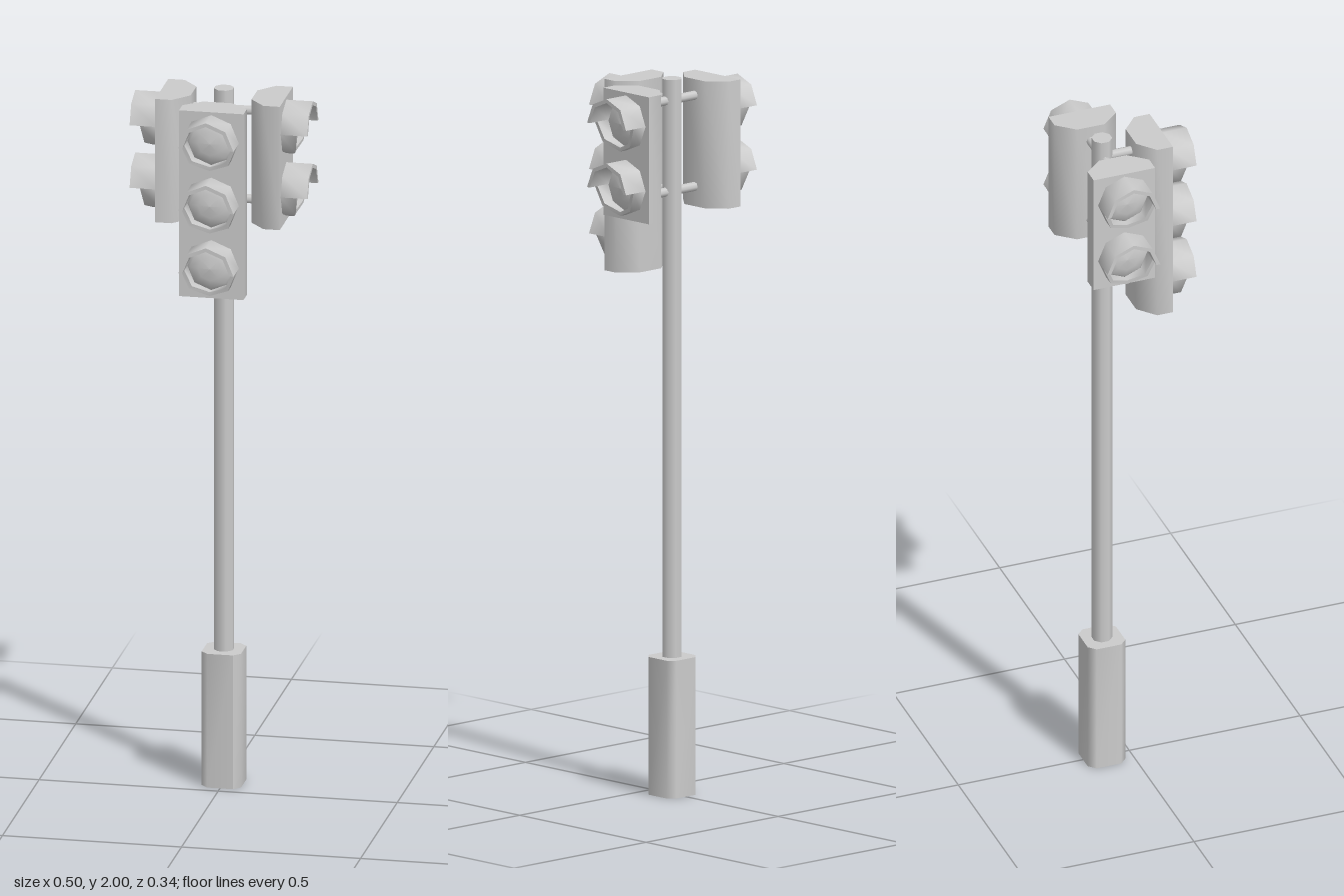
import * as THREE from 'three';
import { toCreasedNormals } from 'three/addons/utils/BufferGeometryUtils.js';

const grey = new THREE.MeshStandardMaterial({ color: 0xcccccc });
const greyDouble = new THREE.MeshStandardMaterial({ color: 0xcccccc, side: THREE.DoubleSide });
const POLE_Z = -0.08;
const FACE = 0.174; // distance from the pole axis to a lamp housing's face

function add(parent, name, geometry, material = grey) {
  const mesh = new THREE.Mesh(geometry, material);
  mesh.name = name;
  parent.add(mesh);
  return mesh;
}

// Turns an octagonal ring into a square with cut corners
function squareOff(geometry, half, cut) {
  const p = geometry.attributes.position;
  for (let i = 0; i < p.count; i++) {
    const x = p.getX(i), z = p.getZ(i);
    if (Math.hypot(x, z) < 1e-4) continue;
    const wide = Math.abs(x) > Math.abs(z);
    p.setX(i, Math.sign(x) * (wide ? half : cut));
    p.setZ(i, Math.sign(z) * (wide ? cut : half));
  }
  geometry.computeVertexNormals();
  return geometry;
}

// Housing: plan outline with slanted back corners, extruded upwards
function housingGeometry(bottom, top) {
  const outline = [[-0.04, 0.085], [0.04, 0.085], [0.09, 0.128], [0.09, FACE], [-0.09, FACE], [-0.09, 0.128]];
  const shape = new THREE.Shape(outline.map(([x, z]) => new THREE.Vector2(x, -z)));
  const g = new THREE.ExtrudeGeometry(shape, { depth: top - bottom, bevelEnabled: false });
  g.rotateX(-Math.PI / 2).translate(0, bottom, 0);
  return toCreasedNormals(g, 0.9);
}

// Visor: octagonal shell, long over the top half and stepped back below
function visorGeometry() {
  const long = 0.074, outer = 0.077, inner = 0.066;
  const sections = [
    [0, long], [45, long], [90, long], [135, long], [180, long],
    [180, 0.045], [225, 0.037], [270, 0.022], [315, 0.037], [360, 0.045], [360, long],
  ];
  const positions = [], index = [];
  sections.forEach(([degrees, length], i) => {
    const a = THREE.MathUtils.degToRad(degrees), c = Math.cos(a), s = Math.sin(a);
    for (const [r, z] of [[outer, 0], [outer, length], [inner, length], [inner, 0]]) positions.push(r * c, r * s, z);
    if (i === 0) return;
    for (let k = 0; k < 3; k++) {
      const a0 = (i - 1) * 4 + k, b0 = i * 4 + k;
      index.push(a0, b0, b0 + 1, a0, b0 + 1, a0 + 1);
    }
  });
  const g = new THREE.BufferGeometry();
  g.setAttribute('position', new THREE.Float32BufferAttribute(positions, 3));
  g.setIndex(index);
  return toCreasedNormals(g, 0.9);
}

// Lens: shallow eight-sided dome facing +z
function lensGeometry() {
  const profile = [[0.067, 0], [0.058, 0.01], [0.034, 0.018], [0, 0.022]].map(([r, h]) => new THREE.Vector2(r, h));
  return new THREE.LatheGeometry(profile, 8).rotateX(Math.PI / 2);
}

// One signal head with its two brackets, facing +z from the pole axis
function signalHead(name, lampHeights, bottom) {
  const head = new THREE.Group();
  head.name = name;
  add(head, 'housing', housingGeometry(bottom, 1.985));
  for (const y of lampHeights) {
    add(head, 'visor', visorGeometry(), greyDouble).position.set(0, y, FACE);
    add(head, 'lens', lensGeometry(), greyDouble).position.set(0, y, FACE + 0.001);
  }
  for (const y of [1.94, 1.685]) {
    const bracket = new THREE.CylinderGeometry(0.013, 0.013, 0.075, 8).rotateX(Math.PI / 2);
    add(head, 'bracket', bracket).position.set(0, y, 0.0575);
  }
  head.position.z = POLE_Z;
  return head;
}

export function createModel() {
  const model = new THREE.Group();
  model.name = 'trafficLight';

  // Base: hollow post with cut corners, closed on top
  const sides = new THREE.CylinderGeometry(0.05, 0.05, 0.385, 8, 1, true).rotateY(Math.PI / 8);
  add(model, 'base', squareOff(sides, 0.055, 0.036), greyDouble).position.set(0, 0.1925, POLE_Z);
  const lid = new THREE.CircleGeometry(0.05, 8).rotateX(-Math.PI / 2).rotateY(Math.PI / 8);
  add(model, 'baseTop', squareOff(lid, 0.055, 0.036)).position.set(0, 0.385, POLE_Z);

  // Pole
  const pole = new THREE.CylinderGeometry(0.0285, 0.0285, 1.62, 8).rotateY(Math.PI / 8);
  add(model, 'pole', pole).position.set(0, 1.19, POLE_Z);

  // Three-lamp head in front, two-lamp heads on both sides
  model.add(signalHead('frontHead', [1.9, 1.72, 1.54], 1.45));
  for (const side of [1, -1]) {
    const head = signalHead(side > 0 ? 'leftHead' : 'rightHead', [1.9, 1.72], 1.63);
    head.rotation.y = side * Math.PI / 2;
    model.add(head);
  }
  return model;
}
